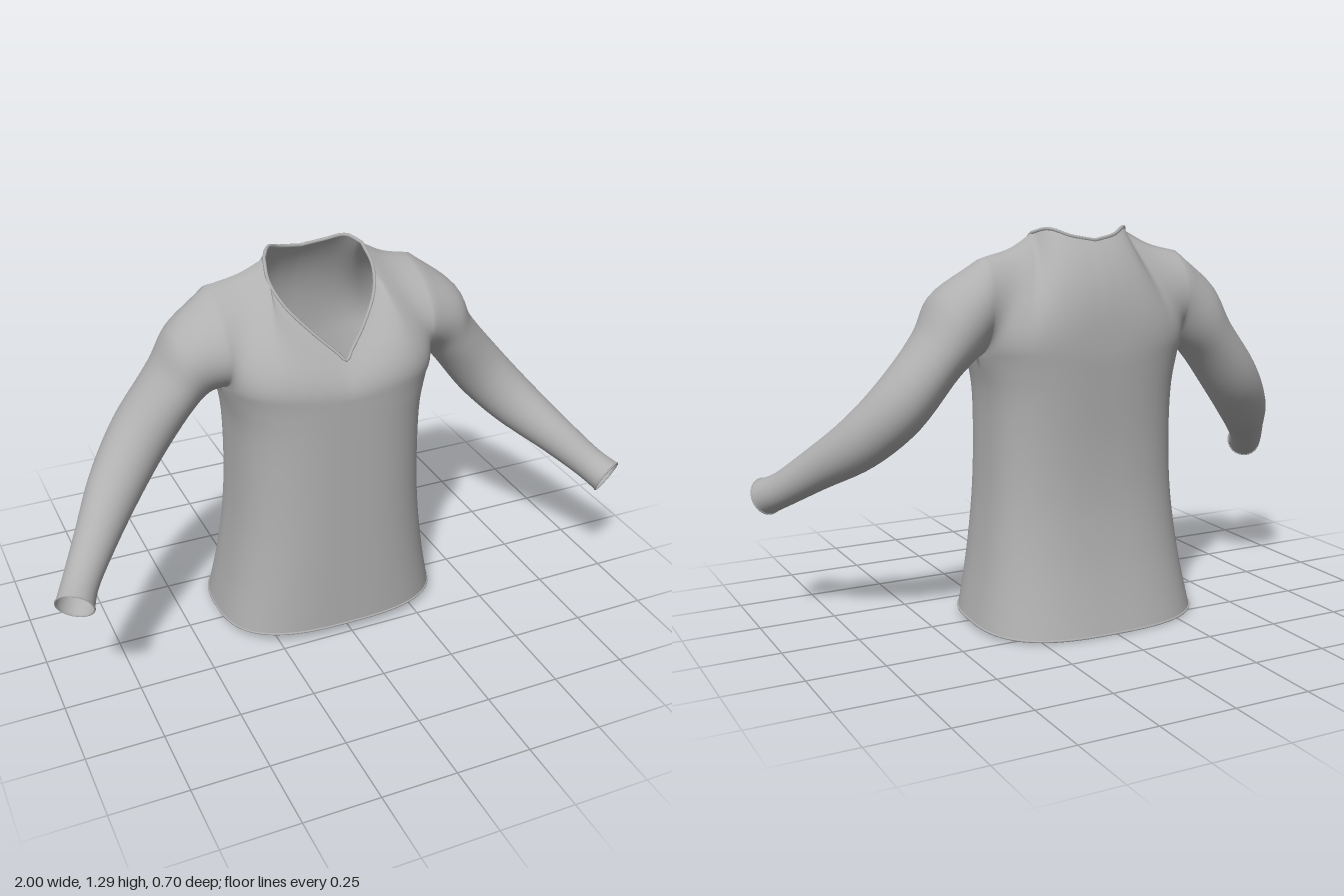
import * as THREE from 'three';
import { mergeVertices } from 'three/addons/utils/BufferGeometryUtils.js';

const V = (x, y, z) => new THREE.Vector3(x, y, z);
const spline = pts => new THREE.CatmullRomCurve3(pts.map(p => V(...p)), false, 'centripetal');
const COLS = 24, ROWS = 18, CHEST_Y = 0.885, SIDE_Z = -0.04;

// Torso profile: half width and front/back depth against height
const sideLine = spline([[0.385, 0.022, 0], [0.352, 0.2, 0], [0.327, 0.4, 0], [0.318, 0.6, 0], [0.323, 0.78, 0], [0.345, CHEST_Y, 0]]);
const backLine = spline([[0, 0.022, -0.343], [0, 0.12, -0.318], [0, 0.25, -0.29], [0, 0.42, -0.268], [0, 0.6, -0.264], [0, 0.78, -0.273], [0, CHEST_Y, -0.28]]);
const FRONT_Z = 0.242;

// Value of one curve at a given height
function atHeight(curve, y, axis) {
  let lo = 0, hi = 1;
  for (let i = 0; i < 24; i++) {
    const mid = (lo + hi) / 2;
    if (curve.getPoint(mid).y < y) lo = mid; else hi = mid;
  }
  return curve.getPoint(lo)[axis];
}

// Rounded-rectangle torso ring; s runs from the centre (0) to the side seam (1)
function ringPoint(s, y, side) {
  const a = s * Math.PI / 2, n = 2.8;
  const sn = Math.sin(a), cs = s === 1 ? 0 : Math.cos(a);
  const r = 1 / Math.pow(sn ** n + cs ** n, 1 / n);
  const depth = side > 0 ? FRONT_Z - SIDE_Z : atHeight(backLine, y, 'z') - SIDE_Z;
  const z = SIDE_Z + depth * cs * r;
  const low = 1 - (y - 0.022) / (CHEST_Y - 0.022);
  return V(atHeight(sideLine, y, 'x') * sn * r, y + 0.05 * z * low, z);
}

// Neckline halves and shoulder seam
const neckFront = spline([[0, 1.0, 0.185], [0.095, 1.09, 0.115], [0.155, 1.16, 0.05], [0.178, 1.22, -0.015], [0.168, 1.272, -0.075]]);
const neckBack = spline([[0, 1.25, -0.185], [0.075, 1.264, -0.168], [0.135, 1.286, -0.125], [0.168, 1.272, -0.075]]);
const shoulder = spline([[0.168, 1.272, -0.075], [0.25, 1.228, -0.09], [0.35, 1.202, -0.1]]);

// Upper torso: each column bends from the chest ring to the neck or shoulder seam
function yokePoint(s, t, side) {
  const p0 = ringPoint(s, CHEST_Y, side);
  const p1 = s <= 0.5 ? (side > 0 ? neckFront : neckBack).getPoint(s * 2) : shoulder.getPoint(s * 2 - 1);
  const h = p1.y - p0.y, w = s * s;
  const c1 = V(0, 0.4 * h, 0).lerp(V(0, 0.05, side > 0 ? 0.24 : -0.19), w).add(p0);
  const c2 = V(0, -0.3 * h, side * 0.25 * h).lerp(V(0.02, -0.05, side > 0 ? 0.22 : -0.14), w).add(p1);
  return new THREE.CubicBezierCurve3(p0, c1, c2, p1).getPoint(t);
}

// Sleeve stations: upper x, y, lower x, y, centre z, half depth
const stations = [
  [0.495, 1.09, 0.385, 0.875, -0.06, 0.142],
  [0.555, 0.98, 0.435, 0.83, -0.063, 0.13],
  [0.68, 0.825, 0.55, 0.68, -0.05, 0.108],
  [0.78, 0.70, 0.66, 0.57, 0.02, 0.088],
  [0.878, 0.578, 0.785, 0.48, 0.15, 0.068],
  [0.95, 0.495, 0.87, 0.413, 0.25, 0.058],
  [0.985, 0.468, 0.903, 0.38, 0.31, 0.06],
];

function sleeveGrid() {
  const armhole = [];
  for (let j = 0; j <= 2 * ROWS; j++) {
    armhole.push(j <= ROWS ? yokePoint(1, j / ROWS, 1) : yokePoint(1, 2 - j / ROWS, -1));
  }
  const centres = stations.map(([a, b, c, d, z]) => V((a + c) / 2, (b + d) / 2, z));
  const rings = stations.map(([a, b, c, d, , depth], i) => {
    const up = V((a - c) / 2, (b - d) / 2, 0);
    const along = centres[Math.min(i + 1, 6)].clone().sub(centres[Math.max(i - 1, 0)]);
    const fwd = along.cross(up).setLength(depth);
    return armhole.map((_, j) => {
      const ang = j / ROWS * Math.PI;
      return centres[i].clone().addScaledVector(up, -Math.cos(ang)).addScaledVector(fwd, Math.sin(ang));
    });
  });
  const columns = armhole.map((p, j) => new THREE.CatmullRomCurve3([p, ...rings.map(r => r[j])], false, 'centripetal'));
  const steps = 35;
  return Array.from({ length: steps + 1 }, (_, i) => columns.map(c => c.getPoint(i / steps)));
}

// Adds a grid of points and its mirror image as triangles
function addGrid(out, grid, flip) {
  for (const m of [1, -1]) {
    const reverse = flip !== (m < 0);
    for (let i = 0; i < grid.length - 1; i++) for (let j = 0; j < grid[i].length - 1; j++) {
      const a = grid[i][j], b = grid[i][j + 1], c = grid[i + 1][j + 1], d = grid[i + 1][j];
      const order = reverse ? [a, c, b, a, d, c] : [a, b, c, a, c, d];
      for (const p of order) out.push(p.x * m, p.y, p.z);
    }
  }
}

const makeGrid = (rows, fn) => Array.from({ length: rows + 1 }, (_, i) =>
  Array.from({ length: COLS + 1 }, (_, j) => fn(j / COLS, i / rows)));

export function createModel() {
  const group = new THREE.Group();
  const cloth = new THREE.MeshStandardMaterial({ color: 0xb0b0b0, side: THREE.DoubleSide });
  cloth.name = 'greyCloth';
  const add = (name, geometry) => {
    const mesh = new THREE.Mesh(geometry, cloth);
    mesh.name = name;
    group.add(mesh);
  };

  // Torso, yoke and sleeves welded into one smooth cloth surface
  const out = [];
  for (const side of [1, -1]) {
    addGrid(out, makeGrid(24, (s, t) => ringPoint(s, 0.022 + (CHEST_Y - 0.022) * t, side)), side < 0);
    addGrid(out, makeGrid(ROWS, (s, t) => yokePoint(s, t, side)), side < 0);
  }
  const sleeve = sleeveGrid();
  addGrid(out, sleeve, true);
  const raw = new THREE.BufferGeometry();
  raw.setAttribute('position', new THREE.Float32BufferAttribute(out, 3));
  const shirt = mergeVertices(raw, 1e-4);
  shirt.computeVertexNormals();
  add('shirtBodyAndSleeves', shirt);

  // Thin rolled edges
  const mirrored = p => V(-p.x, p.y, p.z);
  const loop = half => [...half, ...half.slice(1, -1).reverse().map(mirrored)];
  const edge = (name, pts, r) => add(name, new THREE.TubeGeometry(
    new THREE.CatmullRomCurve3(pts, true), 120, r, 6, true));

  const neck = [...neckFront.getPoints(16), ...neckBack.getPoints(16).reverse().slice(1)];
  edge('neckband', loop(neck), 0.006);

  const hem = [];
  for (let j = 0; j <= COLS; j++) hem.push(ringPoint(j / COLS, 0.022, 1));
  for (let j = COLS - 1; j >= 0; j--) hem.push(ringPoint(j / COLS, 0.022, -1));
  edge('hem', loop(hem), 0.004);

  const cuff = sleeve[sleeve.length - 1].slice(0, -1);
  edge('leftCuff', cuff, 0.003);
  edge('rightCuff', cuff.map(mirrored), 0.003);
  return group;
}
